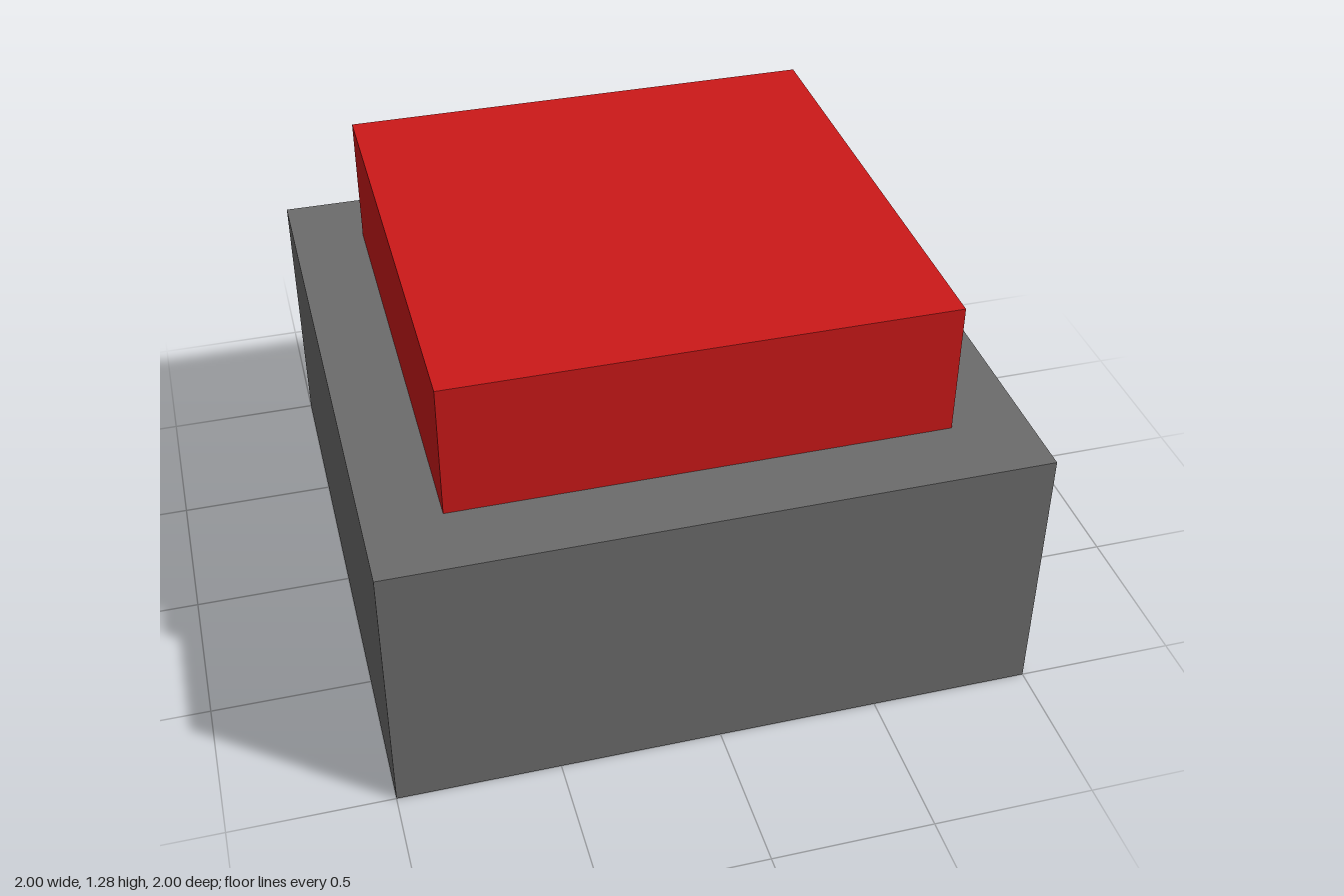
import * as THREE from 'three';

// Square block standing on height y
function block(name, width, height, y, color) {
  const mesh = new THREE.Mesh(
    new THREE.BoxGeometry(width, height, width),
    new THREE.MeshStandardMaterial({ color })
  );
  mesh.name = name;
  mesh.position.y = y + height / 2;
  return mesh;
}

export function createModel() {
  const group = new THREE.Group();
  group.name = 'pushButton';

  const baseHeight = 0.858;
  group.add(block('base', 2, baseHeight, 0, 0x6c6c6c)); // grey housing
  group.add(block('buttonCap', 1.534, 0.427, baseHeight, 0xcc1919)); // red cap

  return group;
}
